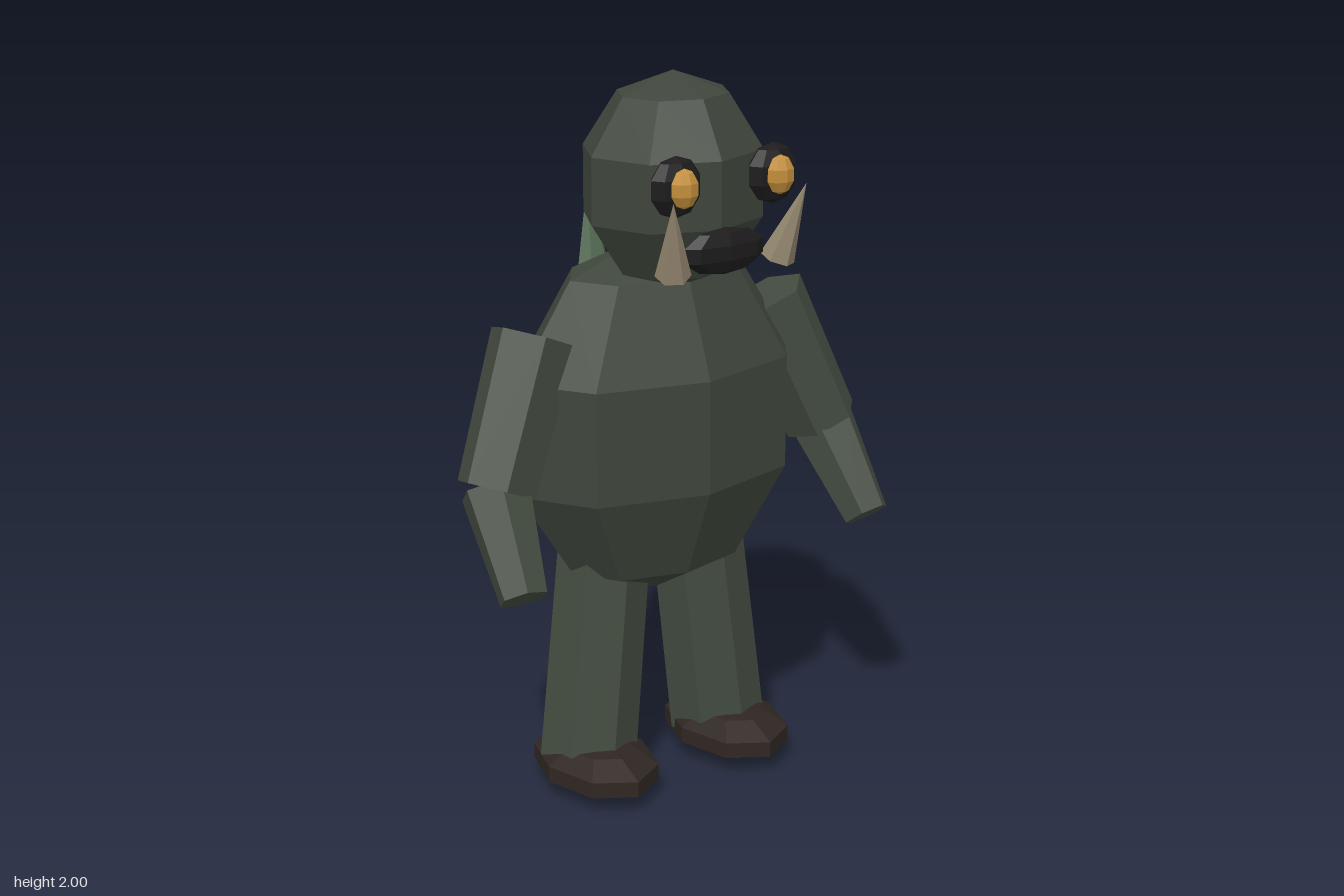
import * as THREE from 'three';

const V = (x, y, z) => new THREE.Vector3(x, y, z);
const paint = (color) => new THREE.MeshStandardMaterial({ color, flatShading: true });

export function createModel() {
  const model = new THREE.Group();
  model.name = 'swampCreature';

  const skin = paint(0x3f463c);
  const limbSkin = paint(0x434b40);
  const boot = paint(0x2f2622);
  const dark = paint(0x1d1b1c);
  const gold = paint(0xc48f3c);
  const bone = paint(0x94876f);
  const spine = paint(0x556b54);

  // Faceted ellipsoid given by centre and radii
  function blob(name, material, center, radii, segments = 8, rings = 5) {
    const mesh = new THREE.Mesh(new THREE.SphereGeometry(1, segments, rings), material);
    mesh.name = name;
    mesh.position.copy(center);
    mesh.scale.copy(radii);
    model.add(mesh);
  }

  // Faceted tapered rod or cone running from a to b; flat squeezes its depth
  function rod(name, material, a, b, ra, rb, sides = 6, turn = 0, flat = 1) {
    const axis = b.clone().sub(a);
    const geometry = new THREE.CylinderGeometry(rb, ra, axis.length(), sides);
    geometry.rotateY(turn).scale(1, 1, flat);
    const mesh = new THREE.Mesh(geometry, material);
    mesh.name = name;
    mesh.position.copy(a).add(b).multiplyScalar(0.5);
    mesh.quaternion.setFromUnitVectors(V(0, 1, 0), axis.normalize());
    model.add(mesh);
  }

  // Body, head and mouth
  blob('body', skin, V(0, 1.045, -0.03), V(0.455, 0.51, 0.277));
  blob('head', skin, V(0, 1.71, 0.055), V(0.264, 0.29, 0.235));
  blob('mouth', dark, V(0, 1.57, 0.29), V(0.13, 0.062, 0.035));

  for (const [side, s] of [['left', 1], ['right', -1]]) {
    // Eyes and tusks
    blob(side + 'EyeSocket', dark, V(s * 0.15, 1.755, 0.29), V(0.078, 0.08, 0.044));
    blob(side + 'Eye', gold, V(s * 0.148, 1.757, 0.326), V(0.041, 0.052, 0.032));
    rod(side + 'Tusk', bone, V(s * 0.163, 1.53, 0.298), V(s * 0.205, 1.735, 0.362), 0.047, 0);

    // Arms
    rod(side + 'UpperArm', limbSkin, V(s * 0.372, 1.32, -0.042), V(s * 0.53, 0.945, 0.02), 0.118, 0.108);
    rod(side + 'Forearm', limbSkin, V(s * 0.533, 0.945, 0.02), V(s * 0.56, 0.705, 0.202), 0.096, 0.066);

    // Legs and feet
    rod(side + 'Leg', limbSkin, V(s * 0.22, 0.08, -0.043), V(s * 0.145, 0.76, -0.06), 0.138, 0.13, 7);
    blob(side + 'Foot', boot, V(s * 0.222, 0.073, 0.005), V(0.161, 0.073, 0.228));
  }

  // Spikes along the back
  rod('backSpike', spine, V(0, 1.155, -0.31), V(0, 1.63, -0.367), 0.1, 0, 6, Math.PI / 6, 0.72);
  rod('neckSpike', spine, V(0, 1.42, -0.14), V(0, 1.705, -0.185), 0.056, 0, 6, Math.PI / 6, 0.8);

  return model;
}
